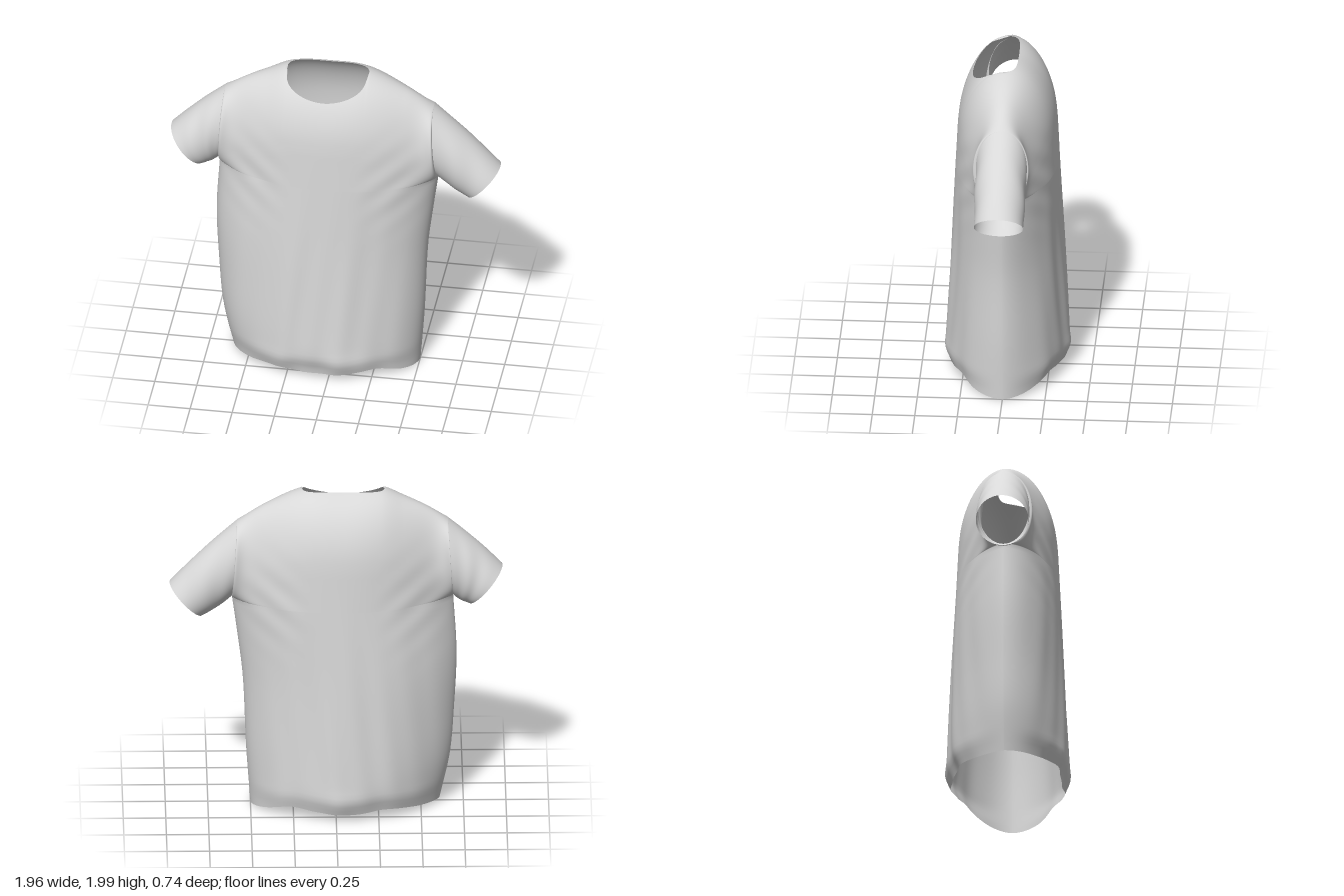
import * as THREE from 'three';
import { mergeVertices } from 'three/addons/utils/BufferGeometryUtils.js';

const { lerp, clamp, smoothstep } = THREE.MathUtils;

// Smooth curve y(x) through a few points (cubic Hermite)
function curve(pts) {
  const slope = i => {
    const a = pts[Math.max(0, i - 1)], b = pts[Math.min(pts.length - 1, i + 1)];
    return (b[1] - a[1]) / (b[0] - a[0]);
  };
  return x => {
    let i = 0;
    while (i < pts.length - 2 && x > pts[i + 1][0]) i++;
    const [x0, y0] = pts[i], [x1, y1] = pts[i + 1], d = x1 - x0;
    const t = clamp((x - x0) / d, 0, 1), t2 = t * t, t3 = t2 * t;
    return (2 * t3 - 3 * t2 + 1) * y0 + (t3 - 2 * t2 + t) * d * slope(i)
      + (3 * t2 - 2 * t3) * y1 + (t3 - t2) * d * slope(i + 1);
  };
}

// Outline: side seams by height, shoulder line and hem by x
const ARMPIT = 1.32;
const sideR = curve([[0, 0.5], [0.35, 0.525], [0.8, 0.545], [1.1, 0.58], [ARMPIT, 0.61]]);
const sideL = curve([[0, -0.605], [0.3, -0.67], [0.6, -0.695], [0.95, -0.71], [ARMPIT, -0.69]]);
const shoulder = curve([[-0.7, 1.77], [-0.545, 1.87], [-0.4, 1.94], [-0.27, 1.993], [-0.05, 2.003], [0.18, 1.993], [0.42, 1.89], [0.59, 1.78]]);
const hem = curve([[-0.61, 0.02], [-0.5, 0.03], [-0.3, 0.053], [-0.1, 0.036], [0.1, 0.045], [0.27, 0.065], [0.42, 0.02], [0.5, 0]]);

// Depth of the body at a distance below the shoulder line
function depth(t) {
  const q = 1 - clamp(t / 0.45, 0, 1);
  return 0.29 * Math.sqrt(1 - q * q) + 0.05 * Math.max(0, t - 0.4);
}

// Roundness of the cross-section: the back narrows faster towards the sides
function sidePower(s, side) {
  return side > 0 ? 0.53 : lerp(0.74, 0.6, smoothstep(s, -0.4, 0.4));
}

// Upper edge of a panel: shoulder line with the neckline cut out
function topEdge(x, side) {
  const q = Math.min(1, Math.abs((x + 0.047) / 0.24));
  const y = shoulder(x);
  return y - (side > 0 ? 0.132 * Math.sqrt(1 - q * q) : 0.012 * (1 - q ** 6));
}

// Soft cloth folds: long drapes below, diagonal pulls from the armpits
function folds(x, y, side) {
  const low = 1 - smoothstep(y, 0.4, 1.5);
  const ph = side > 0 ? 0 : 1.9;
  const drape = 0.006 * low * Math.sin(19 * x + 3.5 * (y - 0.8) * x + ph)
    + 0.003 * low * Math.sin(37 * x - 4 * y + ph);
  const high = Math.exp(-(((y - 1.35) / 0.25) ** 2)) * smoothstep(Math.abs(x + 0.04), 0.15, 0.5);
  const pull = 0.006 * high * Math.sin(34 * (y - 0.7 * Math.abs(x + 0.04)) + ph);
  const ripple = 0.008 * Math.exp(-(((y - 0.1) / 0.07) ** 2)) * Math.sin(13 * x + ph);
  return drape + pull + ripple;
}

// Armhole edge for k from 0 (armpit) to 1 (shoulder tip)
const armX = (k, right) => right ? lerp(0.61, 0.58, k) : lerp(-0.69, -0.66, k);
const rise = k => (1 - Math.cos(Math.PI * k)) / 2;
const armZ = k => 0.15 * Math.sin(Math.PI * k);

const LOW = 44, UP = 32, COLS = 160;

// A point of the front (side 1) or back (side -1) panel
function panelPoint(i, j, side) {
  const s = Math.sin((i / COLS - 0.5) * Math.PI), u = (s + 1) / 2;
  let x, y, k = 0;
  if (j <= LOW) {
    const y0 = hem(lerp(-0.605, 0.5, u)) + (side < 0 ? 0.01 * (1 - s * s) : 0);
    y = lerp(y0, ARMPIT, j / LOW);
    x = lerp(sideL(y), sideR(y), u);
  } else {
    k = (j - LOW) / UP;
    const h = rise(k);
    x = lerp(armX(h, false), armX(h, true), u);
    y = lerp(ARMPIT, topEdge(lerp(-0.66, 0.58, u), side), h);
  }
  const t = Math.max(0, shoulder(x) - y);
  const round = Math.max(0, 1 - s * s);
  let z = depth(t) * Math.pow(round, sidePower(s, side)) + armZ(k) * s ** 10;
  z *= 1 - 0.12 * (1 - smoothstep(y, 0.02, 0.16));
  z += folds(x, y, side) * round * Math.min(1, t * 4);
  return [x, y, side * z];
}

// Grid surface from a point function; flip turns the faces over
function addGrid(out, cols, rows, point, flip) {
  const base = out.pos.length / 3;
  for (let j = 0; j <= rows; j++)
    for (let i = 0; i <= cols; i++) out.pos.push(...point(i, j));
  for (let j = 0; j < rows; j++)
    for (let i = 0; i < cols; i++) {
      const a = base + j * (cols + 1) + i, b = a + 1, c = a + cols + 1, d = c + 1;
      out.idx.push(...(flip ? [a, d, b, a, c, d] : [a, b, d, a, d, c]));
    }
}

function toMesh(out, name, material) {
  let g = new THREE.BufferGeometry();
  g.setAttribute('position', new THREE.Float32BufferAttribute(out.pos, 3));
  g.setIndex(out.idx);
  g = mergeVertices(g, 1e-4);
  g.computeVertexNormals();
  const mesh = new THREE.Mesh(g, material);
  mesh.name = name;
  return mesh;
}

// Sleeve lofted from the armhole to a tilted oval cuff
function sleeve(right, name, material) {
  const out = { pos: [], idx: [] };
  const top = right ? [0.975, 1.4] : [-0.98, 1.5];
  const bottom = right ? [0.78, 1.2] : [-0.78, 1.27];
  const width = right ? 0.145 : 0.155, rows = 24;
  const sign = right ? 1 : -1;
  const tipY = shoulder(armX(1, right));
  addGrid(out, UP * 2, rows, (i, j) => {
    const side = i <= UP ? 1 : -1;
    const k = i <= UP ? i / UP : 2 - i / UP;
    const h = rise(k), w = j / rows;
    // creases gather mid-sleeve and fade at the cuff
    const crease = 0.004 * Math.sin(Math.PI * w) * Math.sin(Math.PI * k)
      * Math.sin(w * (right ? 9 : 13) + 5 * k + side);
    const x = lerp(armX(h, right), lerp(bottom[0], top[0], h), w);
    const y = lerp(lerp(ARMPIT, tipY, h), lerp(bottom[1], top[1], h), w);
    const z = lerp(armZ(k), width * Math.sin(Math.PI * k), w) + crease;
    const puff = 0.01 * Math.sin(Math.PI * w) * (2 * h - 1);
    return [x + sign * puff * 0.7, y + puff * 0.5, side * z];
  }, right);
  return toMesh(out, name, material);
}

export function createModel() {
  const cloth = new THREE.MeshStandardMaterial({ color: 0xd8d8d8, side: THREE.DoubleSide });
  cloth.name = 'light grey cloth';

  const shirt = new THREE.Group();
  shirt.name = 'shirt';

  // Front and back panels joined at side seams and shoulders
  const torso = { pos: [], idx: [] };
  for (const side of [1, -1])
    addGrid(torso, COLS, LOW + UP, (i, j) => panelPoint(i, j, side), side < 0);
  shirt.add(toMesh(torso, 'torso', cloth));

  shirt.add(sleeve(true, 'leftSleeve', cloth), sleeve(false, 'rightSleeve', cloth));
  return shirt;
}
